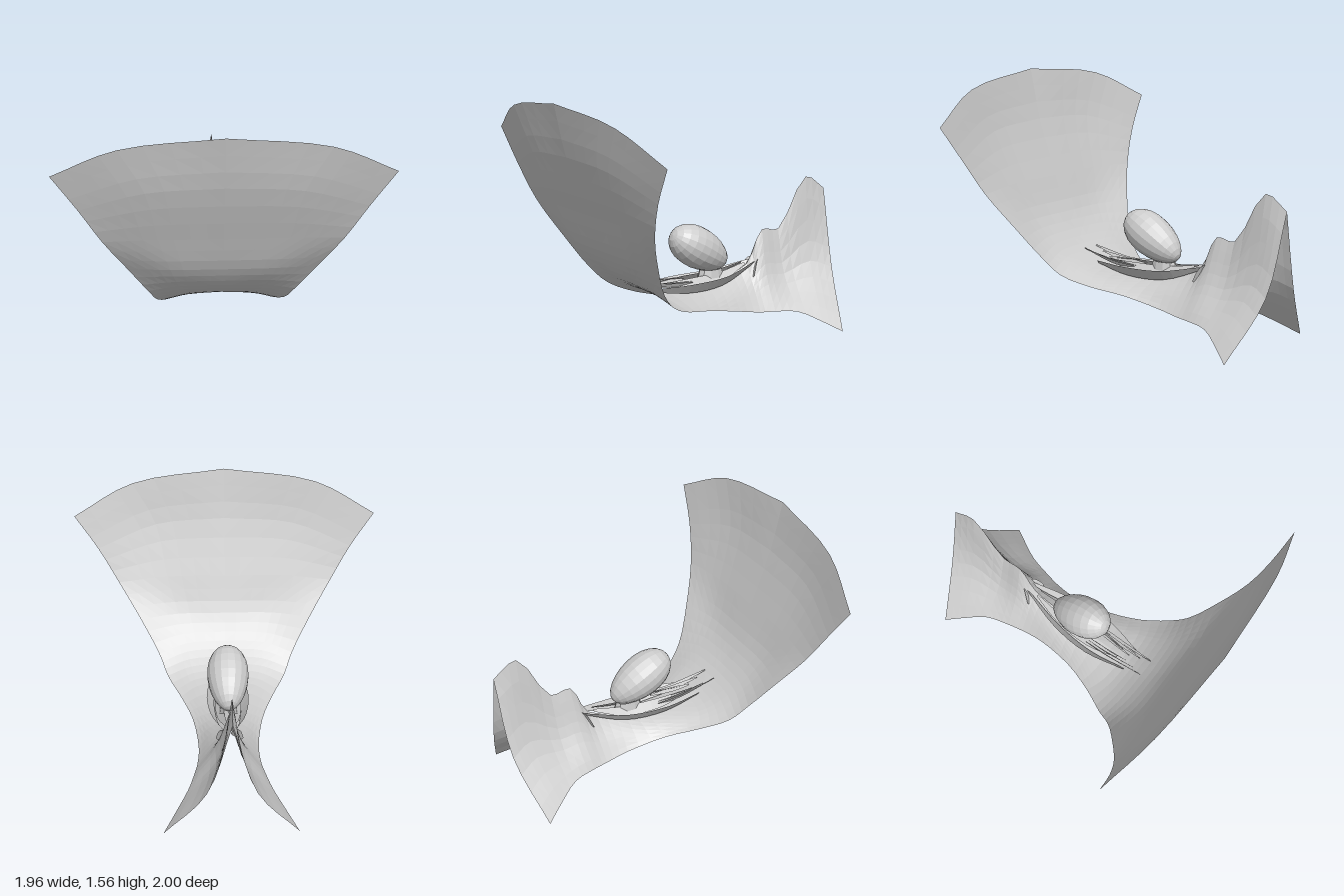
import * as THREE from 'three';

const sheetMat = new THREE.MeshStandardMaterial({ color: 0xcccccc, flatShading: true, side: THREE.DoubleSide });
const eggMat = new THREE.MeshStandardMaterial({ color: 0xcccccc, flatShading: true });
const curve = (points) => new THREE.CatmullRomCurve3(points.map((p) => new THREE.Vector3(...p)));

// Open grid surface from a point function of (row, column)
function gridSurface(rows, cols, pointAt) {
  const pos = [], index = [];
  for (let i = 0; i <= rows; i++)
    for (let j = 0; j <= cols; j++) pos.push(...pointAt(i / rows, j / cols).toArray());
  for (let i = 0; i < rows; i++)
    for (let j = 0; j < cols; j++) {
      const a = i * (cols + 1) + j, b = a + cols + 1;
      index.push(a, b, a + 1, a + 1, b, b + 1);
    }
  const g = new THREE.BufferGeometry();
  g.setAttribute('position', new THREE.Float32BufferAttribute(pos, 3));
  g.setIndex(index);
  g.computeVertexNormals();
  return g;
}

// Three long curves of the half membrane, front rim to rear fin
const ridge = curve([
  [0, 1.56, 1], [0, 1.24, 0.925], [0, 0.88, 0.795], [0, 0.65, 0.7], [0, 0.5, 0.59], [0, 0.4, 0.46], [0, 0.345, 0.33],
  [0, 0.335, 0], [0, 0.37, -0.2], [0, 0.43, -0.38], [0, 0.64, -0.5], [0, 0.63, -0.63], [0, 0.95, -0.85], [0, 0.86, -1],
]);
const middle = curve([
  [0.6, 1.485, 0.95], [0.45, 1.21, 0.905], [0.38, 0.88, 0.79], [0.31, 0.65, 0.695], [0.26, 0.49, 0.575],
  [0.23, 0.385, 0.45], [0.19, 0.32, 0.31], [0.13, 0.285, 0.03], [0.11, 0.285, -0.2], [0.1, 0.3, -0.365],
  [0.09, 0.36, -0.475], [0.09, 0.35, -0.615], [0.1, 0.41, -0.82], [0.15, 0.36, -0.96],
]);
const edge = curve([
  [0.98, 1.3, 0.85], [0.83, 1.08, 0.815], [0.7, 0.86, 0.755], [0.56, 0.64, 0.645], [0.44, 0.44, 0.525],
  [0.385, 0.335, 0.42], [0.3, 0.27, 0.26], [0.225, 0.23, 0.05], [0.19, 0.18, -0.2], [0.2, 0.155, -0.35],
  [0.22, 0.15, -0.45], [0.26, 0.135, -0.6], [0.34, 0.065, -0.74], [0.41, 0, -0.85],
]);

function membraneHalf(side) {
  return gridSurface(39, 8, (u, v) => {
    const section = new THREE.CatmullRomCurve3([ridge, middle, edge].map((c) => c.getPoint(u)));
    const p = section.getPoint(v);
    p.x *= side;
    return p;
  });
}

// Narrow ribbon standing along a path, tapering to both ends
function ribbon(points, width, lean, side) {
  const path = curve(points);
  return gridSurface(12, 1, (u, v) => {
    const p = path.getPoint(u), w = width * Math.sin(Math.PI * (0.08 + 0.84 * u));
    p.x = (p.x + lean * w * (v - 0.5)) * side;
    p.y += w * (v - 0.5);
    return p;
  });
}

export function createModel() {
  const model = new THREE.Group();
  const add = (name, geometry, material = sheetMat) => {
    const m = new THREE.Mesh(geometry, material);
    m.name = name;
    model.add(m);
    return m;
  };

  for (const side of [1, -1]) {
    const n = side > 0 ? 'left' : 'right';
    add(n + 'Membrane', membraneHalf(side));

    // Creased folds cradling the egg
    add(n + 'LowerFold', ribbon([[0.07, 0.37, 0.38], [0.11, 0.355, 0.12], [0.09, 0.365, -0.15], [0.03, 0.44, -0.42]], 0.07, 0.7, side));
    add(n + 'UpperFold', ribbon([[0.03, 0.385, 0.3], [0.06, 0.38, 0.1], [0.05, 0.39, -0.15], [0.02, 0.44, -0.35]], 0.05, -0.9, side));

    // Stretched strands in front of the egg
    for (let k = 0; k < 3; k++) {
      const x = 0.02 + 0.018 * k, end = 0.36 + 0.07 * k;
      add(n + 'Strand' + (k + 1), ribbon([[x + 0.015, 0.385, 0.08], [x + 0.01, 0.385, 0.24], [x, 0.39 + 0.025 * k, end]], 0.025, 0.5, side));
    }

    // Small flaps at the foot of the rear ridge
    add(n + 'RearFlap', ribbon([[0.01, 0.47, -0.47], [0.04, 0.43, -0.42], [0.08, 0.36, -0.38]], 0.04, 1, side));
  }

  // Short neck joining the egg to the membrane
  const neck = add('neck', new THREE.CylinderGeometry(0.05, 0.065, 0.09, 10, 1, true));
  neck.scale.z = 1.6;
  neck.position.set(0, 0.39, -0.1);

  // Egg, blunt end forward and up
  const profile = [];
  for (let i = 0; i <= 12; i++) {
    const a = -Math.PI / 2 + (i / 12) * Math.PI;
    const r = i % 12 ? 0.13 * Math.cos(a) * (1 + 0.13 * Math.sin(a)) : 0;
    profile.push(new THREE.Vector2(r, 0.226 * Math.sin(a)));
  }
  const egg = add('egg', new THREE.LatheGeometry(profile, 18), eggMat);
  egg.rotation.x = Math.PI / 2 - 0.52;
  egg.position.set(0, 0.575, -0.012);

  return model;
}
